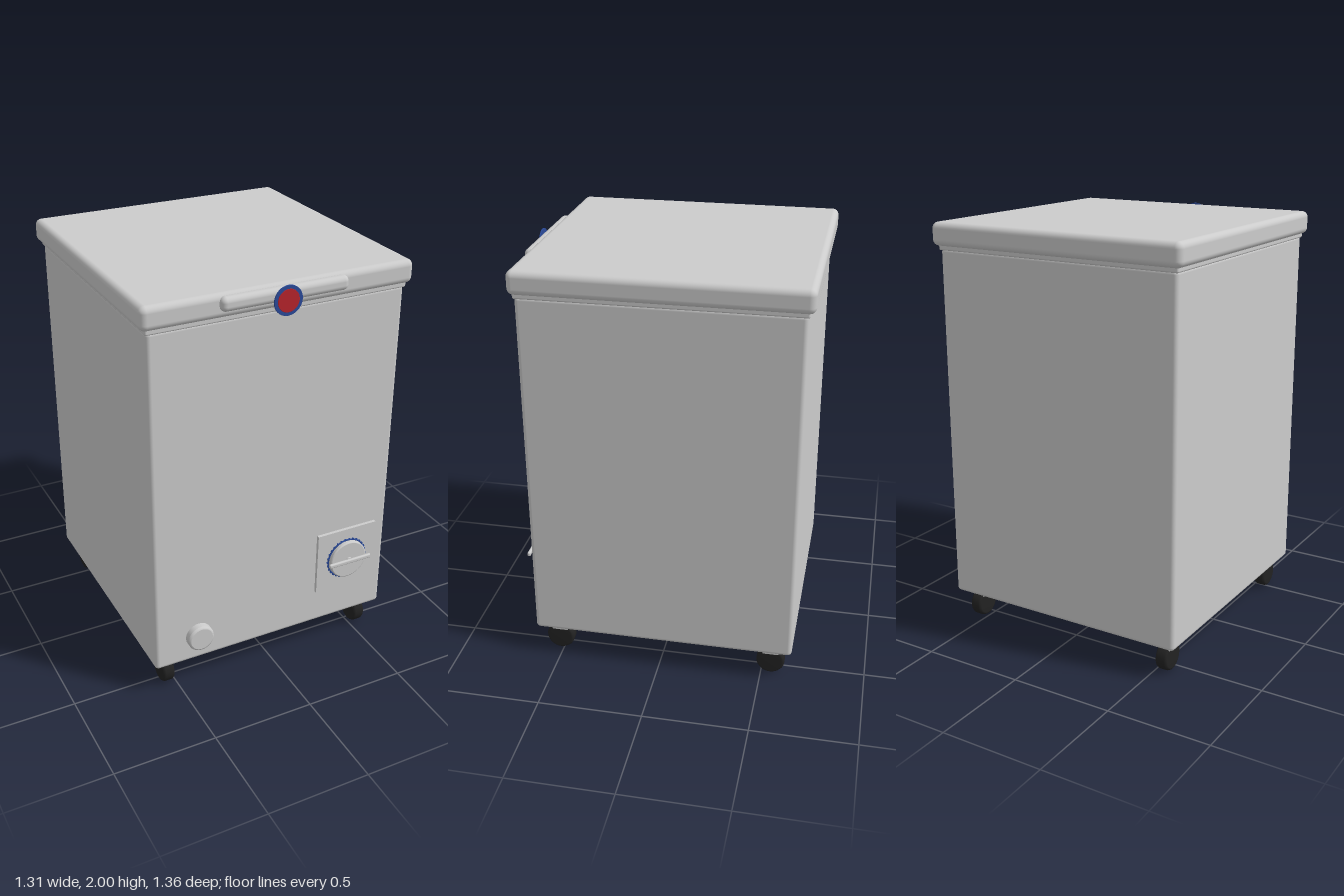
import * as THREE from 'three';
import { RoundedBoxGeometry } from 'three/addons/geometries/RoundedBoxGeometry.js';

const mat = (color) => new THREE.MeshStandardMaterial({ color });

export function createModel() {
  const model = new THREE.Group();
  const grey = mat(0xcccccc), blue = mat(0x2a4a9a), red = mat(0xb8242c), black = mat(0x222222);

  const add = (name, geometry, material, x, y, z, parent = model) => {
    const mesh = new THREE.Mesh(geometry, material);
    mesh.name = name;
    mesh.position.set(x, y, z);
    parent.add(mesh);
    return mesh;
  };
  const box = (w, h, d, r) => new RoundedBoxGeometry(w, h, d, 4, r);
  // Disc facing the front, with a slightly rounded front rim
  const disc = (r, depth, bevel) => {
    const g = new THREE.LatheGeometry([
      [0, -depth / 2], [r, -depth / 2], [r, -depth / 2], [r, depth / 2 - bevel], [r, depth / 2 - bevel],
      [r - bevel * 0.3, depth / 2 - bevel * 0.3], [r - bevel, depth / 2], [r - bevel, depth / 2], [0, depth / 2],
    ].map(([a, b]) => new THREE.Vector2(a, b)), 48);
    return g.rotateX(Math.PI / 2);
  };

  // Cabinet, gasket and lid
  add('cabinet', box(1.25, 1.73, 1.27, 0.02), grey, 0, 1.015, -0.015);
  add('gasket', box(1.26, 0.03, 1.28, 0.008), grey, 0, 1.884, -0.015);
  add('lid', box(1.31, 0.11, 1.325, 0.03), grey, 0, 1.945, -0.018);

  // Lid handle with round badge
  add('handle', box(0.61, 0.066, 0.055, 0.025), grey, 0, 1.957, 0.645);
  add('badgeRim', disc(0.068, 0.006, 0.001), blue, 0, 1.933, 0.675);
  add('badgeFace', disc(0.052, 0.004, 0.001), red, 0, 1.933, 0.678);

  // Thermostat: plate, dial, scale ticks and grip bar
  const thermostat = new THREE.Group();
  thermostat.name = 'thermostat';
  thermostat.position.set(0.398, 0.498, 0);
  model.add(thermostat);
  add('thermostatPlate', new THREE.BoxGeometry(0.326, 0.326, 0.016), grey, 0, 0, 0.628, thermostat);
  add('dial', disc(0.1, 0.03, 0.006), grey, 0, 0, 0.646, thermostat);
  add('dialRing', new THREE.TorusGeometry(0.103, 0.004, 8, 64), blue, 0, 0, 0.639, thermostat);
  for (let i = 0; i < 30; i++) {
    const a = (i / 30) * Math.PI * 2;
    const tick = add('scaleTick', new THREE.BoxGeometry(0.009, 0.007, 0.006), blue,
      Math.cos(a) * 0.106, Math.sin(a) * 0.106, 0.639, thermostat);
    tick.rotation.z = a;
  }
  add('dialGrip', box(0.234, 0.022, 0.016, 0.007), grey, 0, 0, 0.673, thermostat);
  add('dialStem', new THREE.CylinderGeometry(0.015, 0.015, 0.02, 16).rotateX(Math.PI / 2), grey, 0, 0, 0.66, thermostat);

  // Drain plug
  add('drainPlug', disc(0.066, 0.042, 0.01), grey, -0.402, 0.288, 0.638);

  // Casters
  const wheelProfile = [
    [0, -0.03], [0.056, -0.03], [0.064, -0.027], [0.069, -0.018],
    [0.069, 0.018], [0.064, 0.027], [0.056, 0.03], [0, 0.03],
  ].map(([a, b]) => new THREE.Vector2(a, b));
  for (const x of [-0.54, 0.54]) for (const z of [0.515, -0.545]) {
    const caster = new THREE.Group();
    caster.name = 'caster';
    caster.position.set(x, 0, z);
    model.add(caster);
    add('wheel', new THREE.LatheGeometry(wheelProfile, 32).rotateZ(Math.PI / 2), black, 0, 0.07, 0, caster);
    add('casterPlate', box(0.074, 0.03, 0.085, 0.006), grey, 0, 0.14, 0, caster);
    add('casterNeck', box(0.064, 0.03, 0.08, 0.005), grey, 0, 0.125, 0, caster);
  }
  return model;
}
